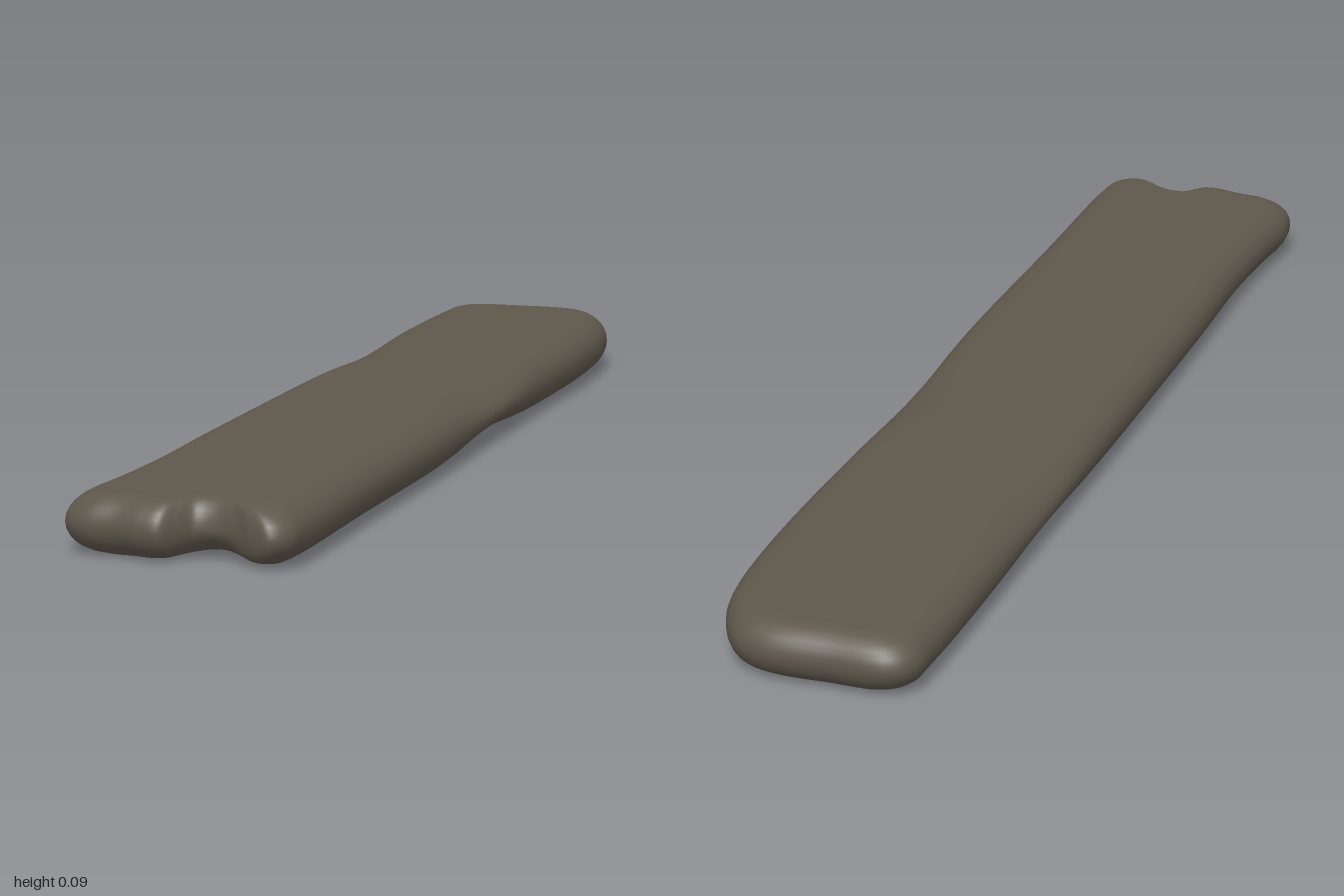
import * as THREE from 'three';

const bump = (v, centre, width) => Math.exp(-(((v - centre) / width) ** 2));

export function createModel() {
  const group = new THREE.Group();
  group.name = 'plank';
  const wood = new THREE.MeshStandardMaterial({ color: 0x5e574b });
  wood.name = 'weathered wood';

  // Plan outline as (x, z): right side, worn front end, left side, rounded back
  const outline = [
    [-0.17, -0.97], [-0.177, -0.9], [-0.178, -0.5], [-0.178, 0], [-0.175, 0.4],
    [-0.17, 0.65], [-0.176, 0.8], [-0.183, 0.9], [-0.172, 0.95], [-0.14, 0.972],
    [-0.09, 0.98], [-0.05, 0.993], [-0.02, 0.995], [0, 0.975], [0.02, 0.952],
    [0.05, 0.95], [0.085, 0.965], [0.115, 0.988], [0.145, 1], [0.17, 0.98],
    [0.178, 0.92], [0.177, 0.6], [0.178, 0.25], [0.173, 0], [0.171, -0.3],
    [0.171, -0.65], [0.16, -0.82], [0.14, -0.91], [0.1, -0.975], [0.05, -0.997],
    [-0.05, -1], [-0.14, -0.998],
  ].map(([x, z]) => new THREE.Vector3(x, 0, z));
  const curve = new THREE.CatmullRomCurve3(outline, true, 'centripetal');
  const count = 320;
  // Even steps per control span keep the short end details well sampled
  const rim = curve.getPoints(count).slice(0, count);

  // Rings run from the bottom spine, round the edge, to the top spine
  const steps = 7;
  const half = [];
  for (let i = 0; i <= steps; i++) {
    const a = (i / steps) * Math.PI / 2;
    half.push([0.3 * (1 - Math.cos(a)), Math.sin(a)]);
  }
  half.push([0.6, 1], [1, 1]);
  const rings = [
    ...half.slice(1).reverse().map(([inset, h]) => [inset, -h]),
    ...half,
  ];

  const positions = [];
  const indices = [];
  rings.forEach(([inset, h], r) => {
    rim.forEach((p, i) => {
      // Worn hollows broaden the rounding along each long side
      const wear = p.x > 0 ? 0.8 * bump(p.z, -0.08, 0.16) : 0.5 * bump(p.z, -0.4, 0.15);
      const s = Math.min(1, inset * (1 + wear * (1 - inset)));
      const x = THREE.MathUtils.lerp(p.x, 0, s);
      const z = THREE.MathUtils.lerp(p.z, THREE.MathUtils.clamp(p.z, -0.84, 0.84), s);
      let y = 0.047 + 0.044 * h * (1 - 0.25 * wear * (1 - s));
      // Underside hollow behind the notch
      if (h < 0) y += 0.022 * -h * bump(x, 0.05, 0.05) * bump(z, 0.97, 0.07);
      positions.push(x, y, z);
      if (r === rings.length - 1) return;
      const j = (i + 1) % count;
      const a = r * count + i, b = r * count + j;
      indices.push(a, b, b + count, a, b + count, a + count);
    });
  });

  const geometry = new THREE.BufferGeometry();
  geometry.setAttribute('position', new THREE.Float32BufferAttribute(positions, 3));
  geometry.setIndex(indices);
  geometry.computeVertexNormals();
  const board = new THREE.Mesh(geometry, wood);
  board.name = 'board';
  group.add(board);
  return group;
}
